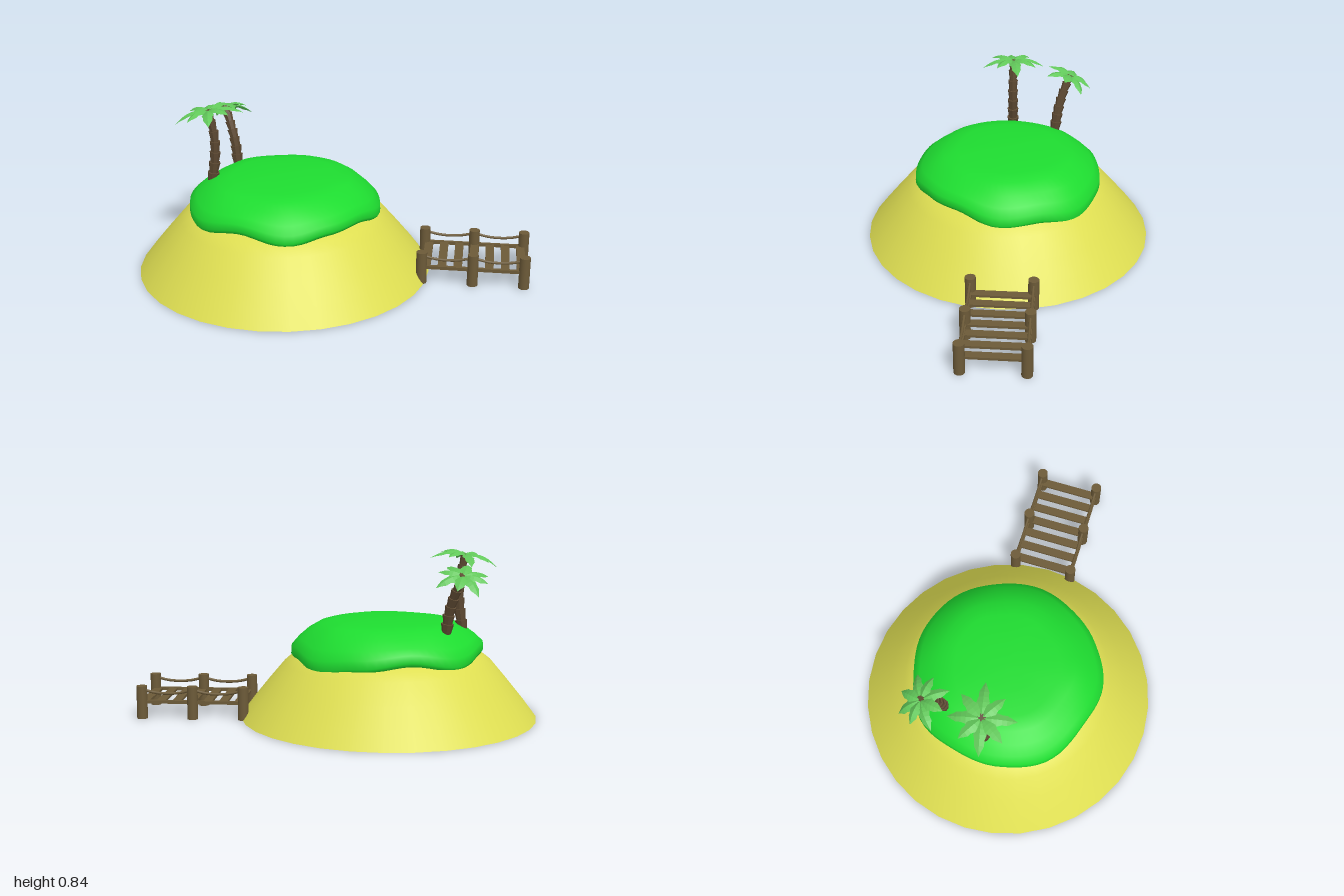
import * as THREE from 'three';
import { mergeVertices } from 'three/addons/utils/BufferGeometryUtils.js';

const mat = (color, extra = {}) => new THREE.MeshStandardMaterial({ color, ...extra });
const sandMat = mat(0xdede52);
const grassMat = mat(0x1edc30);
const woodMat = mat(0x6c5a38);
const trunkMat = mat(0x5e4a33, { flatShading: true });
const leafMat = mat(0x62c85a, { flatShading: true, side: THREE.DoubleSide });
const V = (x, y, z) => new THREE.Vector3(x, y, z);
const ISLAND_X = -0.255;

function add(parent, name, geometry, material, x = 0, y = 0, z = 0) {
  const mesh = new THREE.Mesh(geometry, material);
  mesh.name = name;
  mesh.position.set(x, y, z);
  parent.add(mesh);
  return mesh;
}

// Rounded sand mound with a flat underside
function makeSand() {
  const g = new THREE.Group();
  g.name = 'sandMound';
  const profile = [[0.745, 0], [0.68, 0.087], [0.605, 0.18], [0.525, 0.275], [0.48, 0.31],
    [0.44, 0.335], [0.3, 0.39], [0, 0.41]].map(([r, y]) => new THREE.Vector2(r, y));
  add(g, 'sandSlope', new THREE.LatheGeometry(profile, 32), sandMat);
  add(g, 'sandBase', new THREE.CircleGeometry(0.745, 32).rotateX(Math.PI / 2), sandMat);
  return g;
}

// Grass cap: a lathe whose rim is moved up, down and outward around the island
function makeGrass() {
  const rim = [[0, 0.3], [30, 0.343], [54, 0.335], [78, 0.308], [108, 0.346], [140, 0.308], [168, 0.325],
    [195, 0.335], [225, 0.3], [255, 0.335], [285, 0.305], [313, 0.28], [338, 0.312], [360, 0.3]];
  const rimHeight = (deg) => {
    const i = Math.max(1, rim.findIndex(([a]) => a >= deg));
    const [a0, y0] = rim[i - 1], [a1, y1] = rim[i];
    return THREE.MathUtils.lerp(y0, y1, THREE.MathUtils.smoothstep(deg, a0, a1));
  };
  const profile = [[0.9, 0.315], [0.985, 0.312], [1.005, 0.33], [1, 0.37], [0.93, 0.405], [0.83, 0.443],
    [0.7, 0.478], [0.55, 0.49], [0.3, 0.498], [0, 0.5]].map(([r, y]) => new THREE.Vector2(r, y));
  let geo = new THREE.LatheGeometry(profile, 72);
  const p = geo.attributes.position;
  for (let i = 0; i < p.count; i++) {
    const x = p.getX(i), y = p.getY(i), z = p.getZ(i);
    let deg = THREE.MathUtils.radToDeg(Math.atan2(z, x));
    if (deg < 0) deg = Math.max(0, deg + 360);
    const edge = rimHeight(deg);
    const drop = 1 - THREE.MathUtils.smoothstep(y, 0.33, 0.48);
    const R = 0.477 + (0.32 - edge) * 0.6;
    p.setXYZ(i, x * R, y + (edge - 0.315) * drop, z * R);
  }
  geo.deleteAttribute('uv');
  geo.deleteAttribute('normal');
  geo = mergeVertices(geo, 1e-4);
  geo.computeVertexNormals();
  return geo;
}

// Folded frond along +x: a spine with two lower, notched edges
function makeFrond(length, halfWidth) {
  const n = 7, pos = [], idx = [];
  for (let i = 0; i <= n; i++) {
    const t = i / n;
    const notch = i % 2 ? 1 : 0.8;
    const w = i === n ? 0 : (0.15 + 0.85 * Math.sin(Math.PI * Math.pow(t, 0.85))) * halfWidth * notch;
    const x = length * t, y = length * (0.42 * t - 0.62 * t * t);
    pos.push(x, y - w * 0.45, -w, x, y, 0, x, y - w * 0.45, w);
    if (i < n) {
      for (const k of [0, 1]) {
        const a = i * 3 + k;
        idx.push(a, a + 1, a + 3, a + 1, a + 4, a + 3);
      }
    }
  }
  const g = new THREE.BufferGeometry();
  g.setAttribute('position', new THREE.Float32BufferAttribute(pos, 3));
  g.setIndex(idx);
  g.computeVertexNormals();
  return g;
}

// Palm: flared trunk pieces stacked along a curve, then a tilted crown
function makePalm(name, path, frondLength, tiltX, tiltZ, turn) {
  const palm = new THREE.Group();
  palm.name = name;
  const curve = new THREE.CatmullRomCurve3(path);
  const pieces = 7;
  for (let i = 0; i < pieces; i++) {
    const a = curve.getPointAt(i / pieces), b = curve.getPointAt((i + 1) / pieces);
    const r = 0.031 - 0.0013 * i;
    const dir = b.clone().sub(a), len = dir.length() * 1.12;
    const mid = a.clone().add(b).multiplyScalar(0.5);
    const piece = add(palm, 'trunkPiece', new THREE.CylinderGeometry(r, r * 0.72, len, 8), trunkMat, mid.x, mid.y, mid.z);
    piece.quaternion.setFromUnitVectors(V(0, 1, 0), dir.normalize());
  }
  const crown = new THREE.Group();
  crown.name = 'crown';
  crown.position.copy(path[path.length - 1]);
  crown.rotation.set(tiltX, 0, tiltZ);
  palm.add(crown);
  const count = 8;
  for (let i = 0; i < count; i++) {
    const length = frondLength * [1, 0.84, 0.95, 0.8][i % 4];
    const frond = add(crown, 'frond', makeFrond(length, 0.031), leafMat);
    frond.rotation.order = 'YXZ';
    frond.rotation.set(0, turn + (i / count) * Math.PI * 2, i % 2 ? 0.1 : -0.04);
  }
  return palm;
}

// Jetty: posts, side rails, planks and sagging ropes
function makeJetty() {
  const g = new THREE.Group();
  g.name = 'jetty';
  const posts = [0.46, 0.715, 0.97];
  for (const z of [-0.178, 0.13]) {
    for (const x of posts) add(g, 'post', new THREE.CylinderGeometry(0.027, 0.027, 0.165, 16), woodMat, x, 0.0825, z);
    add(g, 'sideRail', new THREE.BoxGeometry(0.51, 0.016, 0.018), woodMat, 0.715, 0.085, z);
    for (let i = 0; i < 2; i++) {
      const a = posts[i], b = posts[i + 1];
      const rope = new THREE.CatmullRomCurve3([V(a, 0.148, z), V((3 * a + b) / 4, 0.132, z),
        V((a + b) / 2, 0.127, z), V((a + 3 * b) / 4, 0.132, z), V(b, 0.148, z)]);
      add(g, 'rope', new THREE.TubeGeometry(rope, 16, 0.007, 8), woodMat);
    }
  }
  for (let i = 0; i < 7; i++) {
    add(g, 'plank', new THREE.BoxGeometry(0.043, 0.012, 0.3), woodMat, 0.483 + i * 0.0785, 0.085, -0.024);
  }
  return g;
}

export function createModel() {
  const model = new THREE.Group();
  model.name = 'island';
  const sand = makeSand();
  sand.position.x = ISLAND_X;
  model.add(sand);
  add(model, 'grassCap', makeGrass(), grassMat, ISLAND_X);
  model.add(makePalm('frontPalm',
    [V(-0.625, 0.43, 0), V(-0.607, 0.56, 0), V(-0.605, 0.68, 0), V(-0.632, 0.815, 0)], 0.175, 0, 0.16, 0.2));
  model.add(makePalm('backPalm',
    [V(-0.54, 0.46, -0.232), V(-0.552, 0.56, -0.245), V(-0.58, 0.66, -0.27), V(-0.615, 0.745, -0.305)],
    0.15, -0.42, 0.12, 0.55));
  model.add(makeJetty());
  return model;
}
